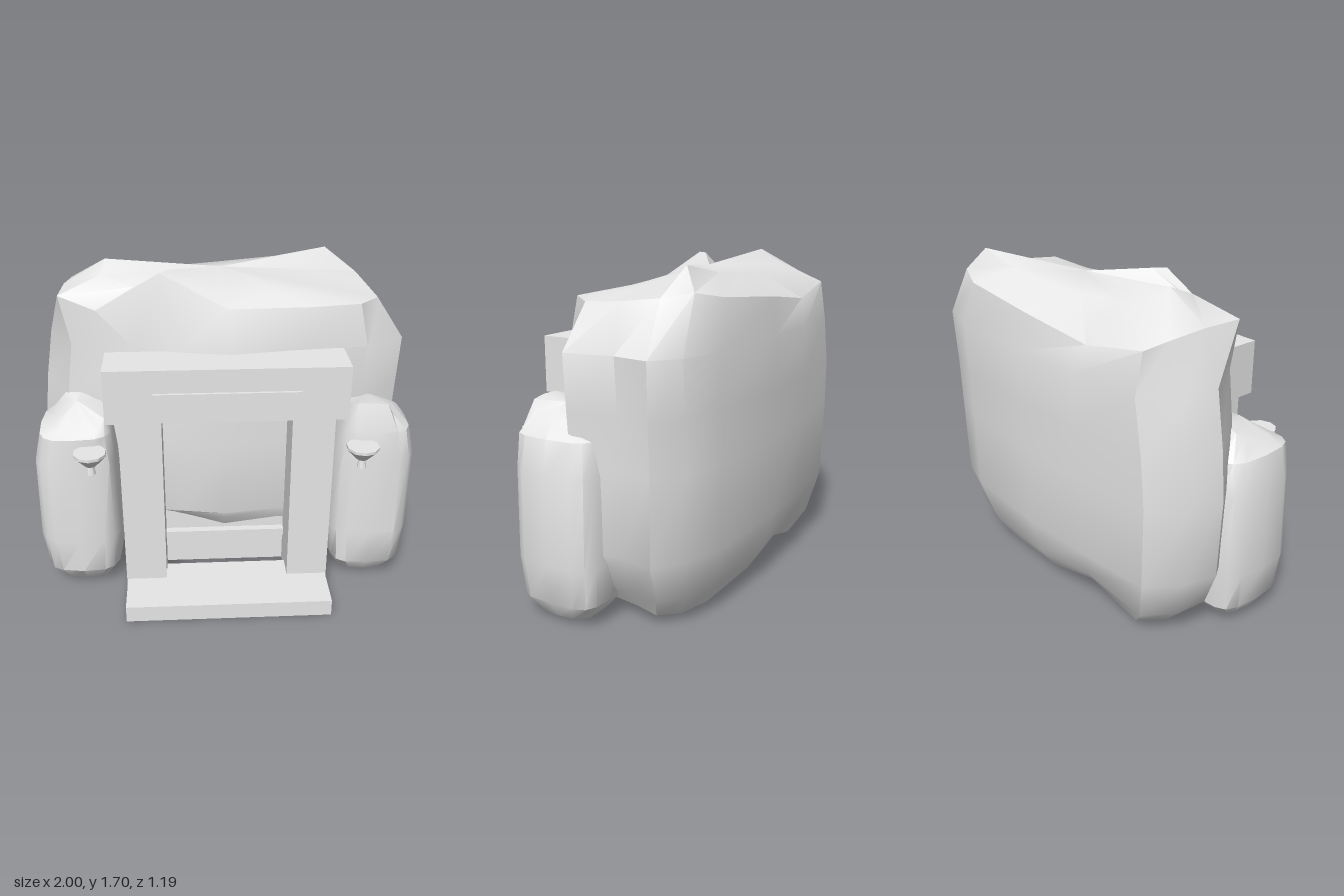
import * as THREE from 'three';
import { toCreasedNormals } from 'three/addons/utils/BufferGeometryUtils.js';

const SIDES = 16;

// Unit outlines, running from +x toward +z
const round = (v) => Math.sign(v) * Math.abs(v) ** 0.58;
const flankOutline = Array.from({ length: SIDES }, (_, i) => {
  const a = (i / SIDES) * Math.PI * 2;
  return [round(Math.cos(a)), round(Math.sin(a))];
});
const boulderOutline = [
  [0.95, -0.1], [1, 0.5], [0.78, 0.8], [0.4, 0.88], [0.03, 1], [-0.23, 0.9], [-0.5, 0.74], [-0.85, 0.52],
  [-1, 0], [-0.96, -0.42], [-0.83, -0.85], [-0.4, -0.95], [0.03, -1], [0.6, -0.96], [0.84, -0.8], [0.98, -0.55],
];

// Uneven rim and crest of the main boulder
const boulderRim = [
  [0.77, 1.54, -0.2], [0.79, 1.53, -0.02], [0.68, 1.54, 0.11], [0.42, 1.53, 0.12],
  [0.02, 1.53, 0.13], [-0.32, 1.69, 0.04], [-0.64, 1.51, 0.06], [-0.83, 1.57, 0],
  [-0.82, 1.57, -0.2], [-0.8, 1.55, -0.39], [-0.76, 1.52, -0.5], [-0.42, 1.46, -0.53],
  [0, 1.51, -0.56], [0.48, 1.55, -0.55], [0.64, 1.58, -0.49], [0.74, 1.56, -0.38],
];
const boulderCrest = [
  [0.45, 1.58, -0.2], [0.5, 1.57, -0.08], [0.4, 1.57, 0], [0.25, 1.58, 0],
  [0.02, 1.6, 0], [-0.28, 1.69, -0.02], [-0.45, 1.61, 0], [-0.62, 1.65, -0.08],
  [-0.6, 1.7, -0.2], [-0.55, 1.66, -0.28], [-0.45, 1.63, -0.34], [-0.2, 1.61, -0.38],
  [0, 1.62, -0.4], [0.3, 1.64, -0.42], [0.57, 1.69, -0.41], [0.45, 1.6, -0.3],
];

// Small repeatable generator for uneven rock
function seeded(seed) {
  return () => {
    seed = (seed * 16807) % 2147483647;
    return seed / 2147483647;
  };
}

// Outline fitted to limits: [y, xMin, xMax, zBack, zFront], y may be a list
function ring(outline, [y, x0, x1, zb, zf], random, rough) {
  return outline.map(([u, v], i) => {
    const s = 1 - rough * random();
    return [
      (x0 + x1) / 2 + ((x1 - x0) / 2) * u * s,
      Array.isArray(y) ? y[i] : y,
      (zb + zf) / 2 + ((zf - zb) / 2) * v * s,
    ];
  });
}

// Rock lofted through rings from bottom to top, closed by two poles
function rockGeometry(rings, bottom, top) {
  const points = rings.flat();
  const base = points.push(bottom) - 1;
  const peak = points.push(top) - 1;
  const last = (rings.length - 1) * SIDES;
  const index = [];
  for (let j = 0; j < SIDES; j++) {
    const k = (j + 1) % SIDES;
    for (let r = 0; r < last; r += SIDES) {
      const a = r + j, b = r + k, c = a + SIDES, d = b + SIDES;
      index.push(a, c, b, b, c, d);
    }
    index.push(base, j, k, peak, last + k, last + j);
  }
  const g = new THREE.BufferGeometry();
  g.setAttribute('position', new THREE.Float32BufferAttribute(points.flat(), 3));
  g.setIndex(index);
  return toCreasedNormals(g, 0.6);
}

export function createModel() {
  const group = new THREE.Group();
  const stone = new THREE.MeshStandardMaterial({ color: 0xe7e7e7 });
  stone.name = 'pale stone';

  const add = (name, geometry, x = 0, y = 0, z = 0) => {
    const mesh = new THREE.Mesh(geometry, stone);
    mesh.name = name;
    mesh.position.set(x, y, z);
    group.add(mesh);
  };
  // Box given by its limits on each axis
  const box = (name, x0, x1, y0, y1, z0, z1) =>
    add(name, new THREE.BoxGeometry(x1 - x0, y1 - y0, z1 - z0),
      (x0 + x1) / 2, (y0 + y1) / 2, (z0 + z1) / 2);

  // Main boulder, its underside lifted at the front and cut back at the sides
  const foot = [0.06, 0.1, 0.18, 0.24, 0.27, 0.29, 0.28, 0.14,
    0.06, 0.03, 0.03, 0.12, 0.05, 0.03, 0.03, 0.05];
  const random = seeded(17);
  const body = [
    [foot, -0.76, 0.71, -0.45, 0.12],
    [foot.map((y) => y * 0.8 + 0.13), -0.88, 0.8, -0.53, 0.17],
    [0.38, -0.96, 0.9, -0.585, 0.19],
    [0.8, -0.98, 0.91, -0.595, 0.2],
    [1.05, -0.96, 0.92, -0.6, 0.21],
    [1.32, -0.92, 0.93, -0.6, 0.21],
  ].map((r) => ring(boulderOutline, r, random, 0.015));
  add('mainBoulder', rockGeometry([...body, boulderRim, boulderCrest],
    [0, 0.16, -0.2], [0, 1.65, -0.2]));

  // Flanking rocks
  const leftTop = [1.0, 0.98, 1.0, 1.06, 1.07, 1.07, 1.06, 1.04,
    1.03, 1.02, 0.98, 1.0, 1.0, 0.98, 0.97, 0.98];
  const rightTop = [1.0, 0.99, 0.96, 0.95, 0.94, 0.94, 0.95, 0.96,
    0.97, 1.0, 1.02, 1.05, 1.06, 1.04, 1.02, 1.01];
  for (const side of [1, -1]) {
    const jitter = seeded(side > 0 ? 31 : 77);
    const rings = [
      [0.03, 0.63, 0.91, -0.05, 0.25],
      [0.12, 0.57, 0.975, -0.13, 0.32],
      [0.32, 0.55, 1.0, -0.15, 0.335],
      [0.76, 0.56, 1.0, -0.155, 0.325],
      [0.92, 0.58, 0.96, -0.13, 0.325],
      [side > 0 ? leftTop : rightTop, 0.61, 0.88, -0.03, 0.28],
    ].map(([y, x0, x1, zb, zf]) => ring(flankOutline,
      side > 0 ? [y, x0, x1, zb, zf] : [y, -x1, -x0, zb, zf], jitter, 0.04));
    add(side > 0 ? 'leftRock' : 'rightRock', rockGeometry(rings,
      [side * 0.77, 0.05, 0.1], [side * 0.76, 1.05, 0.12]));
  }

  // Doorway
  box('step', -0.535, 0.535, 0, 0.09, 0.235, 0.6);
  box('lintel', -0.6, 0.6, 1.04, 1.32, 0.14, 0.385);
  box('lintelPlaque', -0.36, 0.36, 1.16, 1.2, 0.38, 0.4);
  box('leftPillar', 0.325, 0.54, 0.03, 1.04, 0.11, 0.36);
  box('rightPillar', -0.54, -0.325, 0.03, 1.04, 0.11, 0.36);
  box('threshold', -0.325, 0.325, 0.21, 0.25, 0.1, 0.16);
  add('doorPanel', new THREE.PlaneGeometry(0.65, 1.01), 0, 0.535, 0.12);

  // Torch bowls on short stems
  const bowl = [[0, 0.76], [0.024, 0.76], [0.017, 0.805], [0.03, 0.81],
    [0.083, 0.867], [0.083, 0.882], [0, 0.882]].map(([r, y]) => new THREE.Vector2(r, y));
  const bowlGeometry = toCreasedNormals(new THREE.LatheGeometry(bowl, 10), 0.5);
  add('leftTorch', bowlGeometry, 0.685, 0, 0.37);
  add('rightTorch', bowlGeometry, -0.685, 0, 0.37);

  return group;
}
